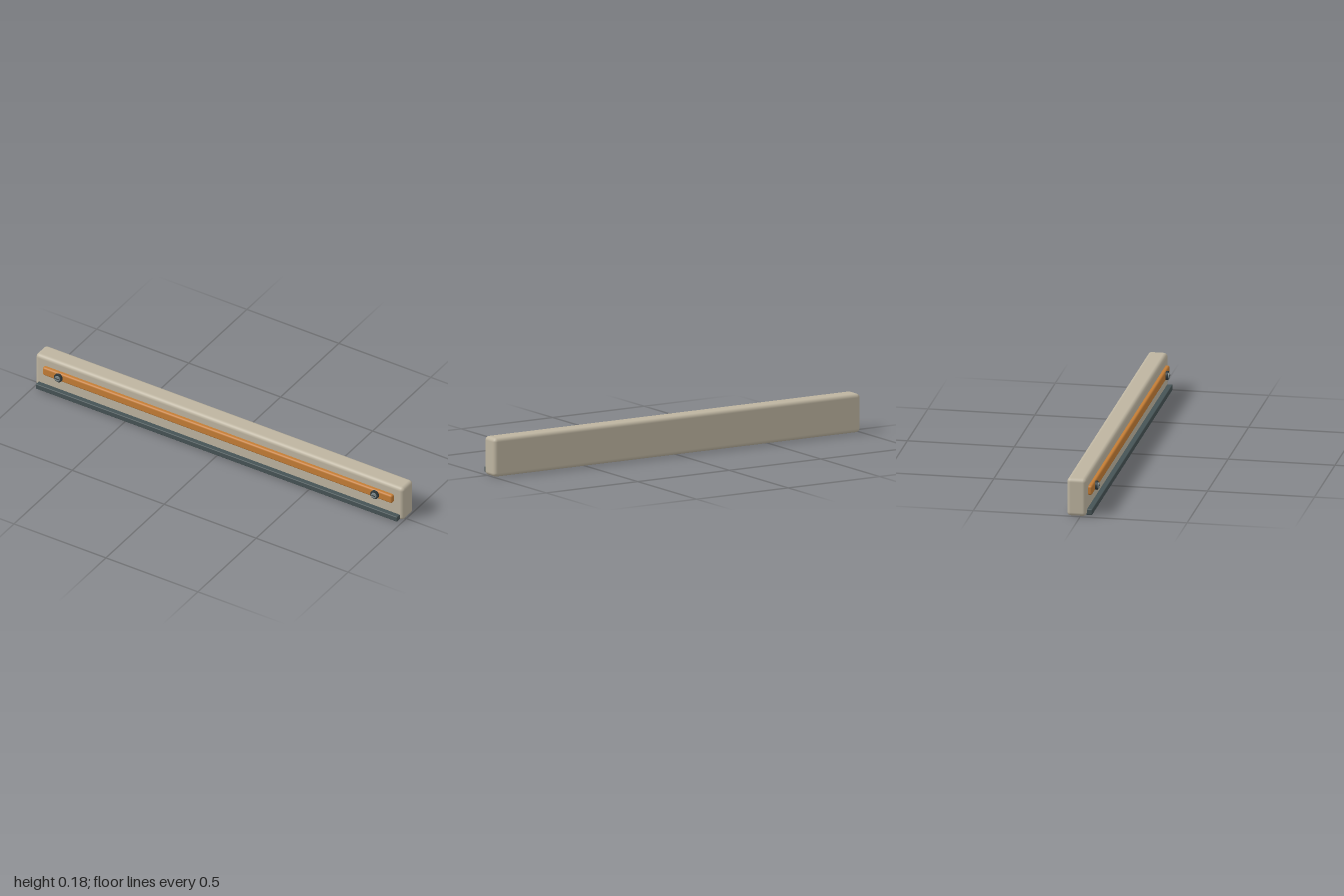
import * as THREE from 'three';
import { RoundedBoxGeometry } from 'three/addons/geometries/RoundedBoxGeometry.js';

const paint = (color) => new THREE.MeshStandardMaterial({ color });

export function createModel() {
  const model = new THREE.Group();
  model.name = 'wallRail';
  const beige = paint(0xbdb4a0), orange = paint(0xc47d35);
  const slate = paint(0x465355), dark = paint(0x30393b), steel = paint(0x7d888a);

  const add = (parent, name, geometry, material, x, y, z) => {
    const mesh = new THREE.Mesh(geometry, material);
    mesh.name = name;
    mesh.position.set(x, y, z);
    parent.add(mesh);
    return mesh;
  };
  const rounded = (name, w, y0, y1, z0, z1, r, material) =>
    add(model, name, new RoundedBoxGeometry(w, y1 - y0, z1 - z0, 4, r),
      material, 0, (y0 + y1) / 2, (z0 + z1) / 2);

  // Long padded body, front inlay and lower lip
  rounded('body', 2, 0, 0.181, -0.063, 0.028, 0.018, beige);
  rounded('inlayStrip', 1.9, 0.09, 0.134, 0.01, 0.046, 0.009, orange);
  rounded('lowerLip', 1.965, 0.005, 0.032, 0.005, 0.053, 0.004, slate);

  // Screws: a wide collar, a smaller head and a raised driver bar
  const disc = (r, depth) => new THREE.CylinderGeometry(r, r, depth, 24).rotateX(Math.PI / 2);
  for (const side of [-1, 1]) {
    const screw = new THREE.Group();
    screw.name = side > 0 ? 'leftScrew' : 'rightScrew';
    screw.position.set(side * 0.86, 0.112, 0);
    add(screw, 'collar', disc(0.021, 0.011), dark, 0, 0, 0.0505);
    add(screw, 'head', disc(0.0135, 0.006), steel, 0, 0, 0.059);
    add(screw, 'driverBar', new THREE.BoxGeometry(0.02, 0.004, 0.004), dark, 0, 0, 0.0615);
    model.add(screw);
  }
  return model;
}
